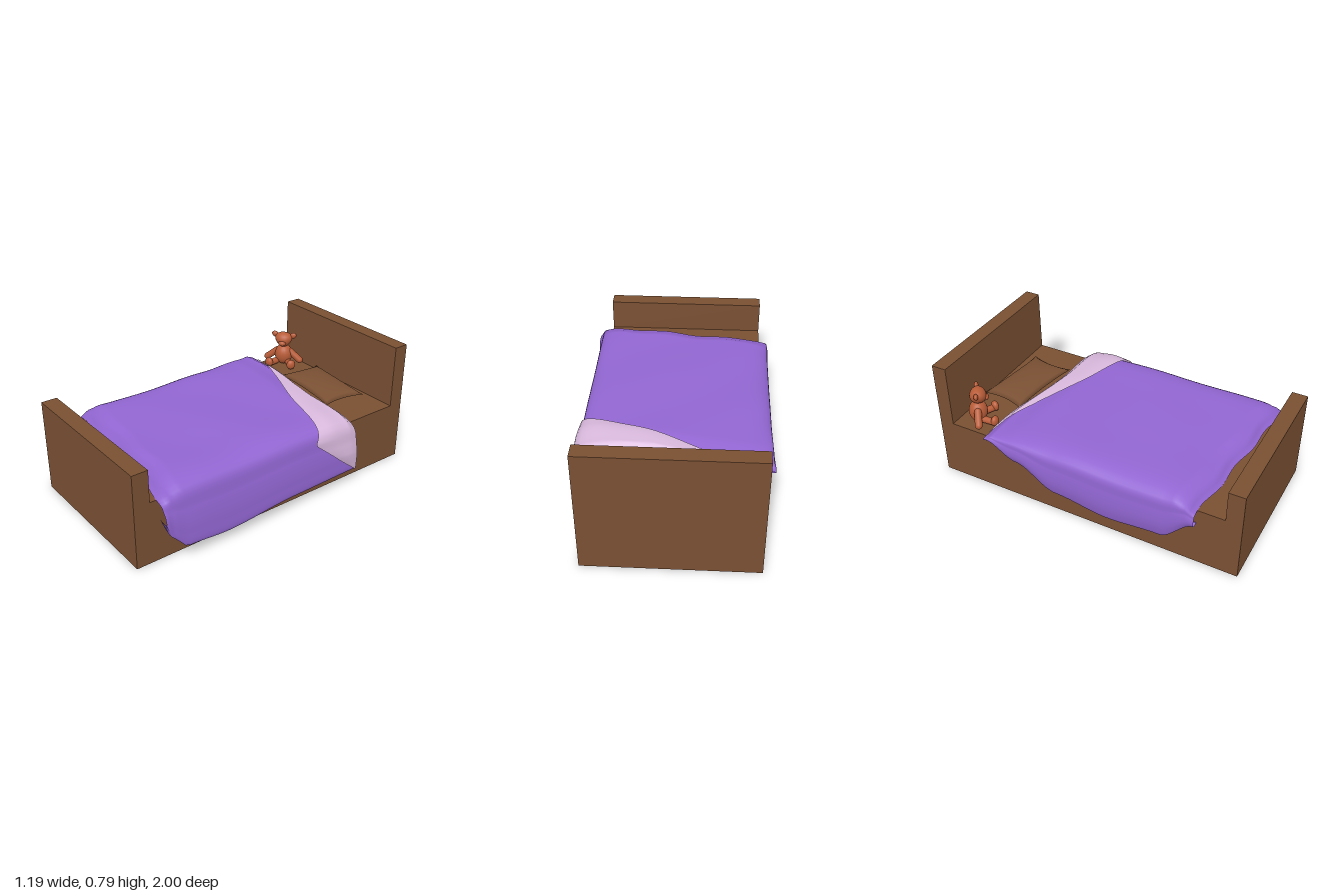
import * as THREE from 'three';
import { ParametricGeometry } from 'three/addons/geometries/ParametricGeometry.js';

const mat = (color) => new THREE.MeshStandardMaterial({ color, side: THREE.DoubleSide });
const wood = mat(0x7a5033), purple = mat(0x9266d2), lilac = mat(0xd8b8dc), fur = mat(0xb85c38);

function add(parent, name, geometry, material, pos = [0, 0, 0], scale = [1, 1, 1]) {
  const m = new THREE.Mesh(geometry, material);
  m.name = name;
  m.position.set(...pos);
  m.scale.set(...scale);
  parent.add(m);
  return m;
}

// Piecewise-linear lookup in a list of [t, value], eased between the keys
function lookup(keys, t) {
  for (let i = 1; i < keys.length; i++) {
    const [a, va] = keys[i - 1], [b, vb] = keys[i];
    if (t <= b) return va + (vb - va) * THREE.MathUtils.smoothstep(t, a, b);
  }
  return keys[keys.length - 1][1];
}

// Side profile extruded across the bed, with the underside left open
function frameGeometry() {
  const profile = [[1, 0], [1, 0.59], [0.9, 0.59], [0.9, 0.39], [-0.905, 0.39], [-0.905, 0.79], [-1, 0.79], [-1, 0]];
  const shape = new THREE.Shape(profile.map(([z, y]) => new THREE.Vector2(-z, y)));
  const solid = new THREE.ExtrudeGeometry(shape, { depth: 1.02, bevelEnabled: false });
  const src = solid.index ? solid.toNonIndexed() : solid;
  const p = src.attributes.position, kept = [];
  for (let i = 0; i < p.count; i += 3) {
    if (Math.max(p.getY(i), p.getY(i + 1), p.getY(i + 2)) < 1e-4) continue;
    for (let k = i; k < i + 3; k++) kept.push(p.getX(k), p.getY(k), p.getZ(k));
  }
  const g = new THREE.BufferGeometry();
  g.setAttribute('position', new THREE.Float32BufferAttribute(kept, 3));
  g.rotateY(Math.PI / 2);
  g.translate(-0.53, 0, 0);
  g.computeVertexNormals();
  return g;
}

// Blanket cross-section: x, and height as a fraction from hem to top
const section = new THREE.CatmullRomCurve3([
  [-0.54, 0.1], [-0.565, 0], [-0.588, 0.22], [-0.585, 0.6], [-0.56, 0.88], [-0.47, 0.98], [-0.2, 1],
  [0.2, 1], [0.44, 0.98], [0.525, 0.9], [0.56, 0.6], [0.575, 0.25], [0.565, 0], [0.51, 0.1],
].map(([x, f]) => new THREE.Vector3(x, f, 0)));
section.arcLengthDivisions = 400;
const leftHem = [[0, 0.41], [0.15, 0.3], [0.35, 0.16], [0.6, 0.115], [0.85, 0.14], [1, 0.3]];
const rightHem = [[0, 0.1], [0.35, 0.095], [0.7, 0.065], [0.9, 0.085], [0.97, 0.17], [1, 0.28]];
const topLine = [[0, 0.415], [0.04, 0.45], [0.15, 0.47], [0.5, 0.475], [0.9, 0.468], [0.96, 0.445], [1, 0.4]];

// along: 0 head to 1 foot; across: 0 right hem to 1 left hem
function blanketPoint(along, across, target) {
  const s = section.getPointAt(across);
  const hem = lookup(s.x < 0 ? leftHem : rightHem, along);
  const back = -0.635 + 0.105 * THREE.MathUtils.smoothstep(s.x, -0.4, 0.25);
  const front = 0.74 + 0.12 * (s.x + 0.58) / 1.14 + 0.01 * Math.sin(s.x * 16);
  const ripple = 0.004 * Math.sin(along * 13 + s.x * 7) * s.y;
  const widen = s.x > 0 ? 0.015 * along * (1 - s.y) : 0;
  return target.set(s.x + widen, hem + s.y * (lookup(topLine, along) - hem) + ripple,
    back + (front - back) * along);
}

// Turned-back corner: a lilac flap lying just over the blanket
const foldStart = 0.33, foldEdge = 0.73, foldEnd = 0.955;
function foldPoint(u, v, target) {
  const across = foldStart + (foldEnd - foldStart) * v;
  const reach = across < foldEdge
    ? 0.235 * (across - foldStart) / (foldEdge - foldStart)
    : 0.235 * (foldEnd - across) / (foldEnd - foldEdge);
  blanketPoint(u * reach, across, target);
  const e = 0.004, a = new THREE.Vector3(), b = new THREE.Vector3();
  blanketPoint(u * reach, Math.max(0, across - e), a);
  blanketPoint(u * reach, Math.min(1, across + e), b);
  const lift = 0.008 + 0.018 * Math.sin(Math.PI * Math.min(1, 0.15 + u * 0.8)) * Math.min(1, reach / 0.12);
  const n = new THREE.Vector3(a.y - b.y, b.x - a.x, 0).normalize();
  return target.addScaledVector(n, lift);
}

// Pillow: two domed sheets meeting at a pinched four-cornered seam
function pillowSheet(sign) {
  const c = [[-0.2, -0.9], [0.31, -0.84], [0.28, -0.55], [-0.235, -0.61]];
  return new ParametricGeometry((u, v, target) => {
    const mix = (k) => (c[0][k] * (1 - v) + c[1][k] * v) * (1 - u) + (c[3][k] * (1 - v) + c[2][k] * v) * u;
    const bu = 4 * u * (1 - u), bv = 4 * v * (1 - v);
    const x = mix(0) - (v - 0.5) * 0.05 * bu, z = mix(1) - (u - 0.5) * 0.03 * bv;
    const dome = Math.pow(bu * bv, 0.45) * (sign > 0 ? 0.042 : 0.022);
    target.set(x, 0.42 + sign * dome, z);
  }, 16, 20);
}

function limb(parent, name, from, to, radius) {
  const a = new THREE.Vector3(...from), b = new THREE.Vector3(...to), d = b.clone().sub(a);
  const m = add(parent, name, new THREE.CapsuleGeometry(radius, d.length(), 6, 12), fur,
    a.clone().add(b).multiplyScalar(0.5).toArray());
  m.quaternion.setFromUnitVectors(new THREE.Vector3(0, 1, 0), d.normalize());
}

function teddy() {
  const g = new THREE.Group();
  g.name = 'teddyBear';
  const ball = new THREE.SphereGeometry(1, 20, 14);
  add(g, 'body', ball, fur, [0, 0.075, 0], [0.062, 0.072, 0.058]);
  // Head widens towards the ears
  const head = new THREE.SphereGeometry(1, 20, 14), p = head.attributes.position;
  for (let i = 0; i < p.count; i++) p.setX(i, p.getX(i) * (1 + 0.3 * p.getY(i)));
  head.computeVertexNormals();
  add(g, 'head', head, fur, [0, 0.186, 0.008], [0.057, 0.052, 0.052]);
  add(g, 'muzzle', ball, fur, [0, 0.172, 0.05], [0.026, 0.02, 0.024]);
  for (const s of [-1, 1]) {
    add(g, 'ear', ball, fur, [s * 0.062, 0.216, 0], [0.026, 0.02, 0.014]).rotation.z = s * 0.5;
    limb(g, 'arm', [s * 0.045, 0.1, 0], [s * 0.115, 0.042, 0], 0.023);
    limb(g, 'leg', [s * 0.04, 0.032, 0.03], [s * 0.072, 0.032, 0.085], 0.022);
    add(g, 'foot', ball, fur, [s * 0.078, 0.042, 0.098], [0.03, 0.034, 0.022]).rotation.y = s * 0.5;
  }
  g.position.set(-0.42, 0.39, -0.785);
  g.rotation.y = 0.61;
  return g;
}

export function createModel() {
  const bed = new THREE.Group();
  bed.name = 'bed';
  add(bed, 'bedFrame', frameGeometry(), wood);
  add(bed, 'blanket', new ParametricGeometry(blanketPoint, 48, 72), purple);
  add(bed, 'blanketFold', new ParametricGeometry(foldPoint, 14, 40), lilac);
  const pillow = new THREE.Group();
  pillow.name = 'pillow';
  add(pillow, 'pillowTop', pillowSheet(1), wood);
  add(pillow, 'pillowBottom', pillowSheet(-1), wood);
  bed.add(pillow, teddy());
  return bed;
}
